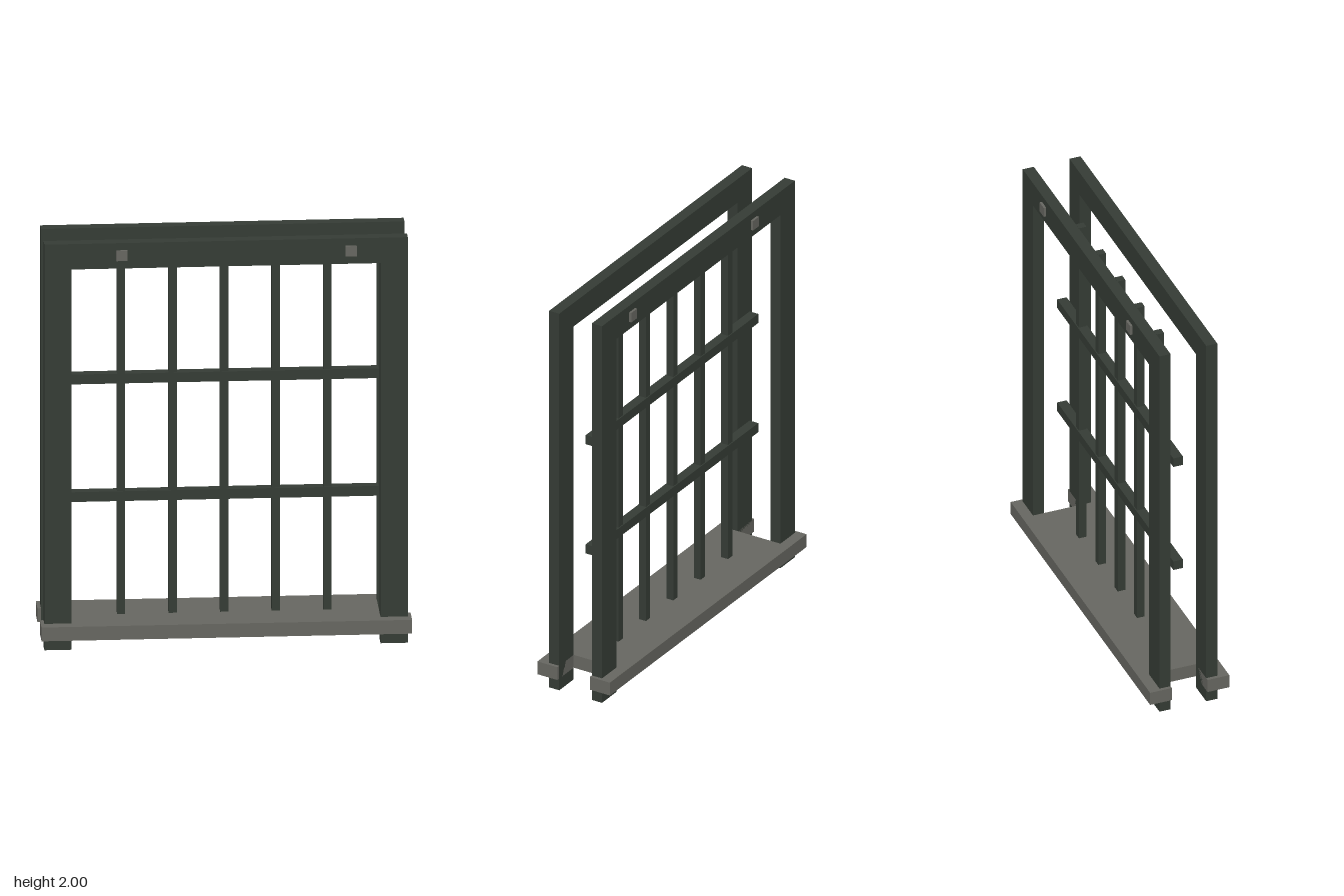
import * as THREE from 'three';

export function createModel() {
  const model = new THREE.Group();
  const paint = new THREE.MeshStandardMaterial({ color: 0x353c35 });
  paint.name = 'dark green paint';
  const stone = new THREE.MeshStandardMaterial({ color: 0x676761 });
  stone.name = 'grey stone';

  const add = (name, geometry, material, x, y, z) => {
    const mesh = new THREE.Mesh(geometry, material);
    mesh.name = name;
    mesh.position.set(x, y, z);
    model.add(mesh);
    return mesh;
  };
  const box = (name, w, h, d, material, x, y, z) =>
    add(name, new THREE.BoxGeometry(w, h, d), material, x, y, z);
  const extrude = (points, depth) => new THREE.ExtrudeGeometry(
    new THREE.Shape(points.map(([x, y]) => new THREE.Vector2(x, y))),
    { depth, bevelEnabled: false });

  const outer = 0.853, inner = 0.725, top = 2, head = 1.875;
  const zNear = 0.09, frameDepth = 0.056;
  const sillBottom = 0.062, sillTop = 0.13;

  // Front and back frames: two posts joined by a head rail
  const frame = extrude([
    [-outer, 0], [-inner, 0], [-inner, head], [inner, head],
    [inner, 0], [outer, 0], [outer, top], [-outer, top],
  ], frameDepth);
  add('frontFrame', frame, paint, 0, 0, zNear);
  add('backFrame', frame, paint, 0, 0, -zNear - frameDepth);

  // Sill, notched at both ends between the frames
  const sw = 0.87, sd = 0.2;
  const sill = extrude([
    [-sw, -sd], [sw, -sd], [sw, -zNear], [inner, -zNear],
    [inner, zNear], [sw, zNear], [sw, sd], [-sw, sd],
    [-sw, zNear], [-inner, zNear], [-inner, -zNear], [-sw, -zNear],
  ], sillTop - sillBottom);
  add('sill', sill, stone, 0, sillTop, 0).rotation.x = Math.PI / 2;

  // Upright bars standing on the sill
  for (let i = -2; i <= 2; i++) {
    box('uprightBar', 0.038, head - sillTop, 0.038, paint,
      i * 0.242, (head + sillTop) / 2, 0);
  }

  // Cross bars
  for (const y of [0.712, 1.292]) {
    box('crossBar', inner * 2, 0.048, 0.048, paint, 0, y, 0);
  }

  // Small blocks on the outer faces of the head rails
  for (const side of [1, -1]) {
    for (const x of [-0.49, 0.587]) {
      box('headBlock', 0.052, 0.05, 0.03, stone, x, 1.94, side * 0.143);
    }
  }

  return model;
}
